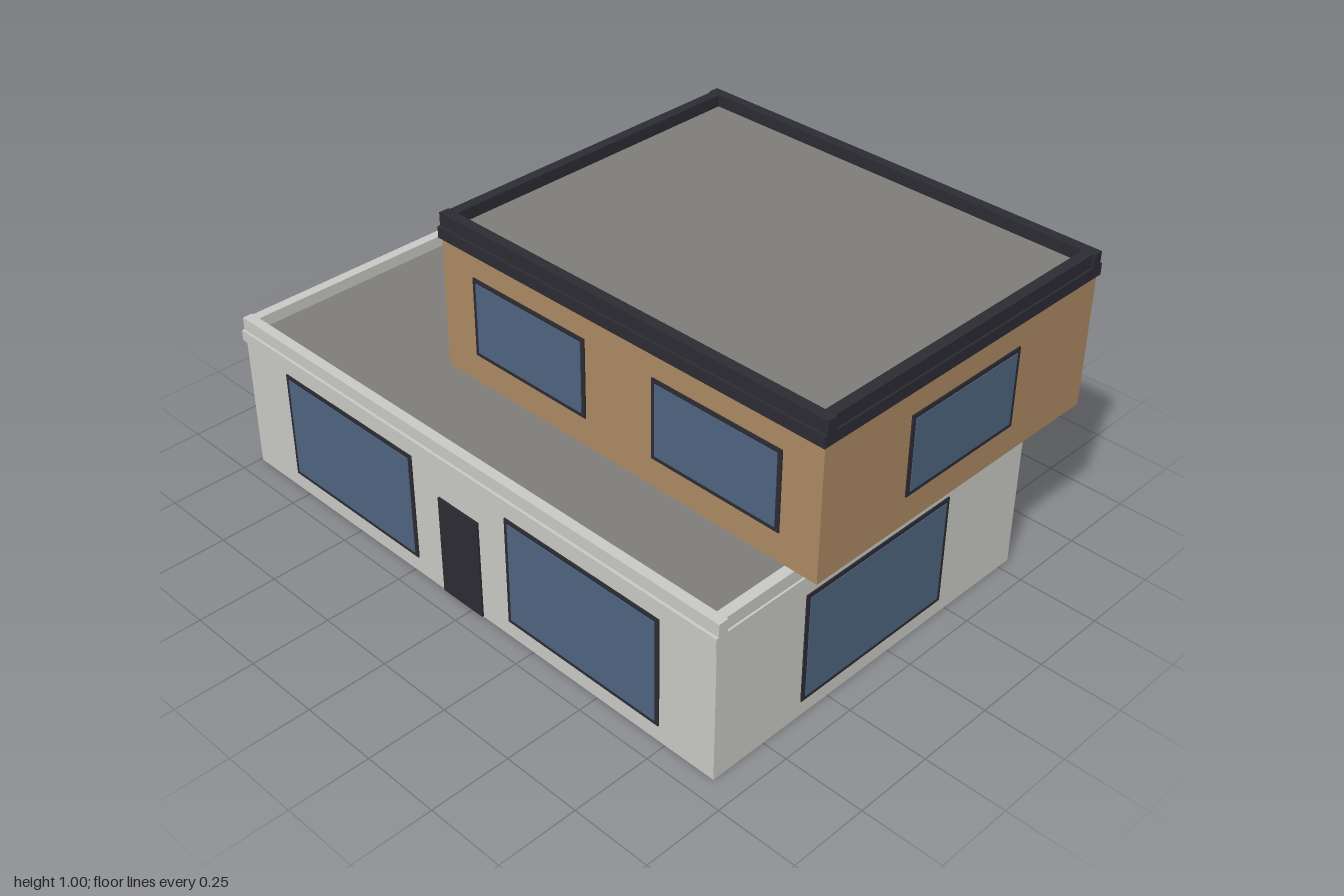
import * as THREE from 'three';

const flat = (name, color, side = THREE.FrontSide) => {
  const m = new THREE.MeshStandardMaterial({ color, side });
  m.name = name;
  return m;
};

export function createModel() {
  const plaster = flat('pale plaster', 0xc9c9c6, THREE.DoubleSide);
  const timber = flat('timber cladding', 0xad8a64, THREE.DoubleSide);
  const dark = flat('dark metal', 0x2b2b33);
  const glass = flat('blue glass', 0x4e6580);
  const roofing = flat('grey roofing', 0x7e7d78);

  const model = new THREE.Group();
  model.name = 'house';

  // Box given by its limits on each axis
  function box(parent, name, material, [x0, x1], [y0, y1], [z0, z1]) {
    const geometry = new THREE.BoxGeometry(x1 - x0, y1 - y0, z1 - z0);
    geometry.translate((x0 + x1) / 2, (y0 + y1) / 2, (z0 + z1) / 2);
    const mesh = new THREE.Mesh(geometry, material);
    mesh.name = name;
    parent.add(mesh);
    return mesh;
  }

  // Storey: shell open underneath, trim slab, parapet and sunken roof
  function storey(name, wallMat, trimMat, xs, ys, zs) {
    const group = new THREE.Group();
    group.name = name;
    model.add(group);
    const [x0, x1] = xs, [y0, y1] = ys, [z0, z1] = zs;
    const mid = y1 + 0.035, top = y1 + 0.075, t = 0.032, lip = 0.006;

    const walls = box(group, 'walls', wallMat, xs, [y0, y1 - 0.002], zs);
    const index = Array.from(walls.geometry.index.array);
    index.splice(18, 6); // leave out the floor
    walls.geometry.setIndex(index);
    walls.geometry.clearGroups();

    const trimX = [x0 - lip, x1 + lip];
    box(group, 'trim', trimMat, trimX, [y1, mid], [z0 - 0.009, z1 + 0.009]);
    box(group, 'frontParapet', trimMat, trimX, [mid, top], [z1 - t, z1]);
    box(group, 'backParapet', trimMat, trimX, [mid, top], [z0, z0 + t]);
    box(group, 'leftParapet', trimMat, [x1 - t, x1], [mid, top], [z0 + t, z1 - t]);
    box(group, 'rightParapet', trimMat, [x0, x0 + t], [mid, top], [z0 + t, z1 - t]);
    box(group, 'roof', roofing, [x0 + t, x1 - t], [mid, mid + 0.003], [z0 + t, z1 - t]);
    return group;
  }

  // Window facing along an axis: dark frame plate with a glass pane on it
  function windowOn(parent, axis, sign, face, [a0, a1], [y0, y1]) {
    const group = new THREE.Group();
    group.name = 'window';
    parent.add(group);
    const border = 0.013;
    const plate = (name, mat, inset, depth) => {
      const along = [a0 + inset, a1 - inset];
      const out = sign > 0 ? [face, face + depth] : [face - depth, face];
      const [xs, zs] = axis === 'z' ? [along, out] : [out, along];
      box(group, name, mat, xs, [y0 + inset, y1 - inset], zs);
    };
    plate('frame', dark, 0, 0.004);
    plate('pane', glass, border, 0.006);
  }

  // Ground floor
  const lowX = [-0.994, 0.92], lowZ = [-0.546, 0.684];
  const lower = storey('groundFloor', plaster, plaster, lowX, [0, 0.44], lowZ);
  for (const span of [[-0.8, -0.23], [0.155, 0.728]]) {
    windowOn(lower, 'z', 1, lowZ[1], span, [0.054, 0.41]);
    windowOn(lower, 'z', -1, lowZ[0], span, [0.054, 0.41]);
  }
  windowOn(lower, 'x', 1, lowX[1], [-0.217, 0.358], [0.05, 0.407]);
  windowOn(lower, 'x', -1, lowX[0], [-0.217, 0.358], [0.05, 0.407]);
  box(lower, 'door', dark, [-0.119, 0.044], [0.003, 0.33], [lowZ[1], lowZ[1] + 0.006]);

  // Upper floor, overhanging at the back and the left
  const upX = [-0.38, 0.992], upZ = [-0.683, 0.41];
  const upper = storey('upperFloor', timber, dark, upX, [0.515, 0.928], upZ);
  for (const span of [[-0.255, 0.182], [0.428, 0.866]]) {
    windowOn(upper, 'z', 1, upZ[1], span, [0.605, 0.854]);
    windowOn(upper, 'z', -1, upZ[0], span, [0.605, 0.854]);
  }
  windowOn(upper, 'x', 1, upX[1], [-0.357, 0.082], [0.605, 0.854]);

  return model;
}
